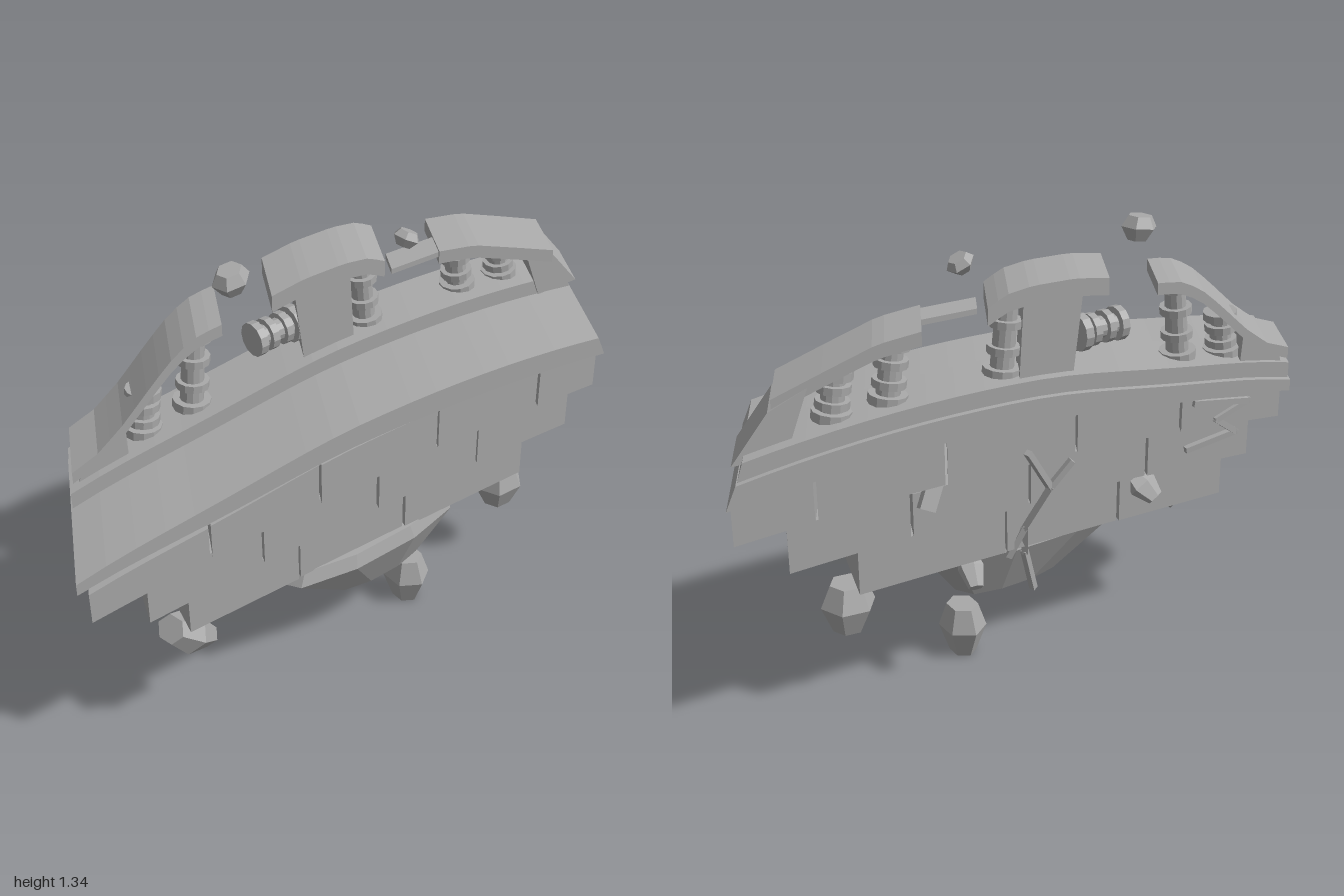
import * as THREE from 'three';

const stone = new THREE.MeshStandardMaterial({ color: 0xa8a8a8 });
stone.name = 'stone';

export function createModel() {
  const root = new THREE.Group();
  root.name = 'floatingBridgeRuin';
  const SKEW = -0.55;

  // Bridge frame: a runs along the bridge, w across it; the ends are cut askew
  const place = (a, w, y, k = SKEW) => new THREE.Vector3(a + k * w, y, 0.074 * a + w);
  const lerp = THREE.MathUtils.lerp;

  const add = (name, geo, parent = root) => {
    const g = geo.index ? geo.toNonIndexed() : geo;
    g.computeVertexNormals();
    const m = new THREE.Mesh(g, stone);
    m.name = name;
    parent.add(m);
    return m;
  };

  // Box bent by a rule: fn(u, v, t) in 0..1 returns [a, w, y] and an optional z shift
  const bent = (name, n, k, fn) => {
    const geo = new THREE.BoxGeometry(1, 1, 1, n, 1, 1);
    const p = geo.attributes.position;
    for (let i = 0; i < p.count; i++) {
      const [a, w, y, dz = 0] = fn(p.getX(i) + 0.5, p.getY(i) + 0.5, p.getZ(i) + 0.5);
      const r = place(a, w, y, k);
      p.setXYZ(i, r.x, r.y, r.z + dz);
    }
    return add(name, geo);
  };
  const slab = (name, a0, a1, w0, w1, bot, top, n = 12, bevel = 0) =>
    bent(name, n, SKEW, (u, v, t) => {
      const a = lerp(a0, a1 - bevel * v, u);
      return [a, lerp(w0, w1, t), v > 0.5 ? top(a) : bot(a)];
    });

  // Height rules: a parabola through left, middle and right, or straight pieces
  const arc = (l, m, r) => (a) => {
    const s = a / 0.875;
    return m + (r - l) / 2 * s + ((l + r) / 2 - m) * s * s;
  };
  const pieces = (pts) => (a) => {
    let i = 0;
    while (i < pts.length - 2 && a > pts[i + 1][0]) i++;
    const [p, q] = [pts[i], pts[i + 1]];
    return lerp(p[1], q[1], (a - p[0]) / (q[0] - p[0]));
  };
  const shift = (f, d) => (a) => f(a) + d;
  // the deck flares a little toward its left end
  const flare = (f) => (a) => f(a) - (a < 0 ? 0.014 * Math.sin(Math.PI * a / 0.875) ** 2 : 0);

  // Deck and raised curb, bevelled at the right end
  const deckTop = flare(arc(0.80, 0.93, 0.878)), deckBot = flare(arc(0.765, 0.862, 0.817));
  slab('deck', -0.875, 0.875, -0.2275, 0.2275, deckBot, deckTop, 20, 0.03);
  slab('curb', -0.87, 0.845, -0.212, -0.035, shift(deckTop, -0.01), shift(deckTop, 0.048), 20, 0.02);

  // Three courses of bricks with narrow joints; the front faces swing out to the left
  const courses = [
    { cuts: [-0.86, -0.5, -0.15, 0.255, 0.63, 0.86], w: 0.207, k: -0.6, bot: arc(0.675, 0.725, 0.702), top: shift(deckBot, 0.003) },
    { cuts: [-0.73, -0.365, 0.025, 0.39, 0.75], w: 0.18, k: -0.44, bot: arc(0.55, 0.578, 0.555), top: arc(0.683, 0.71, 0.692) },
    { cuts: [-0.63, -0.26, 0.115, 0.575], w: 0.15, k: -0.3, bot: arc(0.425, 0.425, 0.415), top: arc(0.54, 0.565, 0.54) },
  ];
  courses.forEach((c, row) => {
    const half = c.cuts[c.cuts.length - 1];
    for (let i = 0; i < c.cuts.length - 1; i++) {
      const w = c.w - 0.004 * (i % 2);
      bent(`brickRow${row + 1}`, 4, c.k, (u, v, t) => {
        const a = lerp(c.cuts[i] + 0.004, c.cuts[i + 1] - 0.004, u);
        return [a, lerp(-w, w, t), v > 0.5 ? c.top(a) : c.bot(a), t * (0.006 + 0.018 * (1 - a / half))];
      });
    }
  });

  // Tapered underside
  const keelPos = [], keelIdx = [], N = 10;
  const loops = [[0.43, 0.33, 0.14, -0.015], [0.386, 0.355, 0.152, -0.015], [0.22, 0.175, 0.075, 0.045]];
  for (const [y, rx, rz, cx] of loops) for (let i = 0; i < N; i++) {
    const t = i / N * Math.PI * 2, c = Math.cos(t), s = Math.sin(t);
    keelPos.push(cx + rx * c, y, 0.053 + rz * Math.sign(s) * Math.pow(Math.abs(s), 0.6));
  }
  for (let l = 0; l < 2; l++) for (let i = 0; i < N; i++) {
    const j = (i + 1) % N, a = l * N + i, b = l * N + j;
    keelIdx.push(a, b, a + N, b, b + N, a + N);
  }
  for (let i = 1; i < N - 1; i++) keelIdx.push(0, i + 1, i, 2 * N, 2 * N + i, 2 * N + i + 1);
  const keel = new THREE.BufferGeometry();
  keel.setAttribute('position', new THREE.Float32BufferAttribute(keelPos, 3));
  keel.setIndex(keelIdx);
  add('underside', keel);

  // Broken parapet caps; the right one is turned slightly
  const leftTop = pieces([[-0.86, 0.905], [-0.78, 0.935], [-0.7, 0.995], [-0.6, 1.09], [-0.53, 1.15], [-0.46, 1.183], [-0.39, 1.19]]);
  const midTop = pieces([[-0.235, 1.23], [-0.13, 1.247], [0, 1.25], [0.08, 1.24], [0.135, 1.212]]);
  const rightTop = pieces([[0.325, 1.18], [0.45, 1.165], [0.6, 1.115], [0.76, 1.06]]);
  slab('leftCap', -0.86, -0.39, -0.222, -0.046, shift(leftTop, -0.035), leftTop);
  slab('middleCap', -0.235, 0.135, -0.212, -0.035, shift(midTop, -0.05), midTop);
  bent('rightCap', 12, SKEW, (u, v, t) => {
    const a = lerp(0.325, 0.745, u);
    return [a, lerp(-0.2, -0.033, t) + 0.033 * u, rightTop(a) - 0.04 * (1 - v)];
  });
  slab('rightCapShard', 0.16, 0.34, -0.115, -0.04, () => 1.158, () => 1.174);

  // Leaning parapet piers: base span, top span, width, heights
  const pier = (name, b, t, w, y) => bent(name, 1, SKEW, (u, v, s) => [
    lerp(lerp(b[0], b[1], u), lerp(t[0], t[1], u), v), lerp(w[0], w[1], s),
    v > 0.5 ? lerp(y[1], y[2], u) : y[0]]);
  pier('leftPier', [-0.85, -0.69], [-0.83, -0.7], [-0.2, -0.06], [0.83, 0.895, 0.975]);
  pier('middlePier', [-0.13, 0.04], [-0.16, 0.025], [-0.185, -0.07], [0.96, 1.215, 1.22]);
  pier('rightPier', [0.71, 0.86], [0.645, 0.755], [-0.175, -0.02], [0.91, 1.08, 1.035]);

  // Ringed balusters
  const baluster = (name, h) => {
    const g = new THREE.Group();
    g.name = name;
    const ring = (r, y, t) => add('ring', new THREE.CylinderGeometry(r, r, t, 12), g).position.set(0, y, 0);
    add('shaft', new THREE.CylinderGeometry(0.03, 0.034, h, 12), g).position.y = h / 2;
    ring(0.054, 0.012, 0.026);
    ring(0.047, h * 0.32, 0.022);
    ring(0.047, h * 0.64, 0.022);
    ring(0.05, h - 0.012, 0.024);
    root.add(g);
    return g;
  };
  const uprights = [[-0.645, leftTop, -0.1], [-0.49, leftTop, -0.1], [0.09, midTop, 0.1], [0.43, rightTop, 0.14], [0.59, rightTop, 0.14]];
  for (const [a, top, lean] of uprights) {
    const y0 = deckTop(a) + 0.04;
    const b = baluster('baluster', top(a) - 0.025 - y0);
    b.position.copy(place(a, -0.125, y0));
    b.rotation.z = lean;
  }
  const loose = baluster('looseBaluster', 0.15);
  loose.position.set(-0.075, 1.05, -0.14);
  loose.rotation.z = Math.PI / 2;

  // Floating rocks: six-sided, widest near the middle
  const rock = (name, pos, size, rot = [0, 0, 0]) => {
    const prof = [[0, -0.5], [0.28, -0.5], [0.5, 0.05], [0.33, 0.5], [0, 0.5]].map(p => new THREE.Vector2(...p));
    const geo = new THREE.LatheGeometry(prof, 6);
    geo.scale(...size);
    const m = add(name, geo);
    m.position.set(...pos);
    m.rotation.set(...rot);
  };
  rock('floatingRock', [0.196, 0.082, 0.053], [0.14, 0.164, 0.158]);
  rock('floatingRock', [0.57, 0.28, 0.065], [0.17, 0.15, 0.16], [0, 0.4, 0.05]);
  rock('floatingRock', [-0.63, 0.345, 0.07], [0.125, 0.18, 0.145], [0, 0.2, 0.85]);
  rock('floatingRock', [-0.315, 1.298, -0.095], [0.115, 0.07, 0.1], [0, 0.3, 0.15]);
  rock('floatingRock', [0.215, 1.27, -0.008], [0.085, 0.045, 0.08], [0.1, 0.2, -0.5]);
  rock('rearChip', [0.26, 0.385, -0.11], [0.08, 0.115, 0.06], [0.9, 0, 0.2]);
  rock('rearChip', [-0.3, 0.525, -0.18], [0.1, 0.1, 0.065], [0.8, 0, -0.4]);

  // Chipped plate standing off the rear wall
  const plate = add('rearPlate', new THREE.BoxGeometry(0.05, 0.085, 0.02));
  plate.position.set(0.42, 0.7, -0.17);
  plate.rotation.set(0.25, 0, 0.5);

  // Jagged cracks standing proud of the rear wall
  const crack = (pts) => {
    for (let i = 0; i < pts.length - 1; i++) {
      const p = new THREE.Vector3(...pts[i]), q = new THREE.Vector3(...pts[i + 1]);
      const m = add('rearCrack', new THREE.BoxGeometry(0.018, 0.018, p.distanceTo(q) + 0.01));
      m.position.copy(p).add(q).multiplyScalar(0.5);
      m.lookAt(q);
    }
  };
  crack([[0.14, 0.77, -0.225], [0.05, 0.63, -0.2], [0.1, 0.49, -0.145], [0.09, 0.4, -0.13], [0.05, 0.26, -0.115]]);
  crack([[0.05, 0.63, -0.2], [-0.01, 0.7, -0.215]]);
  crack([[0.1, 0.49, -0.145], [0.14, 0.4, -0.125]]);
  crack([[-0.42, 0.79, -0.25], [-0.61, 0.76, -0.265], [-0.5, 0.72, -0.255], [-0.58, 0.66, -0.25], [-0.42, 0.63, -0.225]]);

  return root;
}
